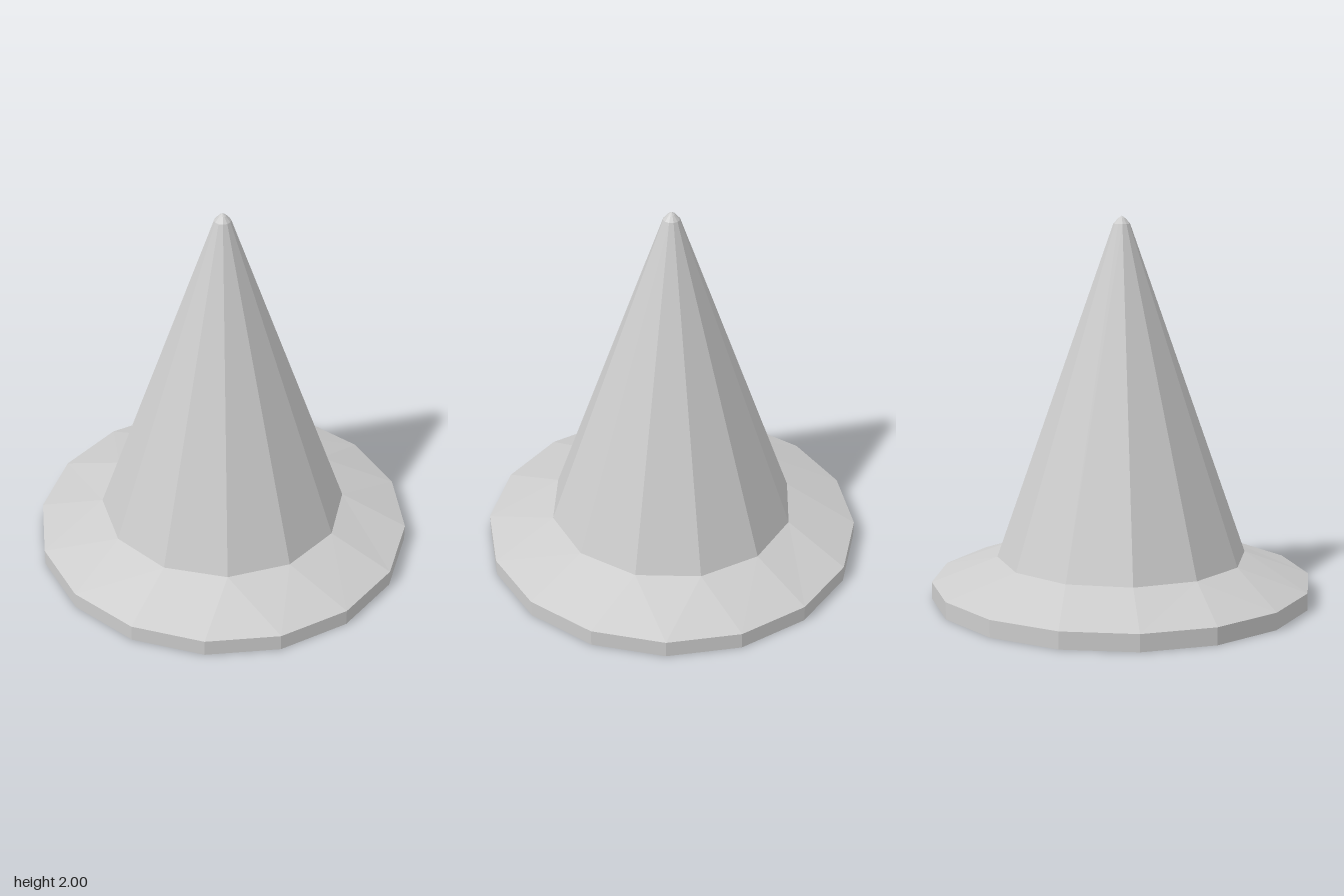
import * as THREE from 'three';

const BRIM_SIDES = 16, CONE_SIDES = 12;

// Point on a ring, starting at +x and turning toward +z
function ringPoint(radius, y, index, sides) {
  const a = (index / sides) * Math.PI * 2;
  return [radius * Math.cos(a), y, radius * Math.sin(a)];
}

// Sloped surface joining the 16-sided rim to the 12-sided foot of the cone
function brimSlope() {
  const positions = [];
  const outer = (i) => ringPoint(1, 0.09, i, BRIM_SIDES);
  const inner = (j) => ringPoint(0.655, 0.22, j, CONE_SIDES);
  let i = 0, j = 0;
  while (i < BRIM_SIDES || j < CONE_SIDES) {
    const stepOuter = (i + 1) / BRIM_SIDES <= (j + 1) / CONE_SIDES;
    if (j >= CONE_SIDES || (i < BRIM_SIDES && stepOuter)) {
      positions.push(...outer(i), ...inner(j), ...outer(i + 1));
      i++;
    } else {
      positions.push(...outer(i), ...inner(j), ...inner(j + 1));
      j++;
    }
  }
  const geometry = new THREE.BufferGeometry();
  geometry.setAttribute('position', new THREE.Float32BufferAttribute(positions, 3));
  geometry.computeVertexNormals();
  return geometry;
}

export function createModel() {
  const group = new THREE.Group();
  const grey = new THREE.MeshStandardMaterial({ color: 0xcccccc, flatShading: true });
  grey.name = 'light grey';

  const add = (name, geometry, y = 0) => {
    const mesh = new THREE.Mesh(geometry, grey);
    mesh.name = name;
    mesh.position.y = y;
    group.add(mesh);
  };

  // Flat underside and upright rim
  add('underside', new THREE.CircleGeometry(1, BRIM_SIDES).rotateX(Math.PI / 2));
  add('rim', new THREE.CylinderGeometry(1, 1, 0.09, BRIM_SIDES, 1, true), 0.045);
  add('brim', brimSlope());

  // Tall faceted cone
  add('cone', new THREE.CylinderGeometry(0.043, 0.655, 1.74, CONE_SIDES, 1, true), 1.09);

  // Rounded tip
  const tip = [[0.043, 1.96], [0.018, 1.988], [0, 2]].map(([r, y]) => new THREE.Vector2(r, y));
  add('tip', new THREE.LatheGeometry(tip, CONE_SIDES));

  return group;
}
